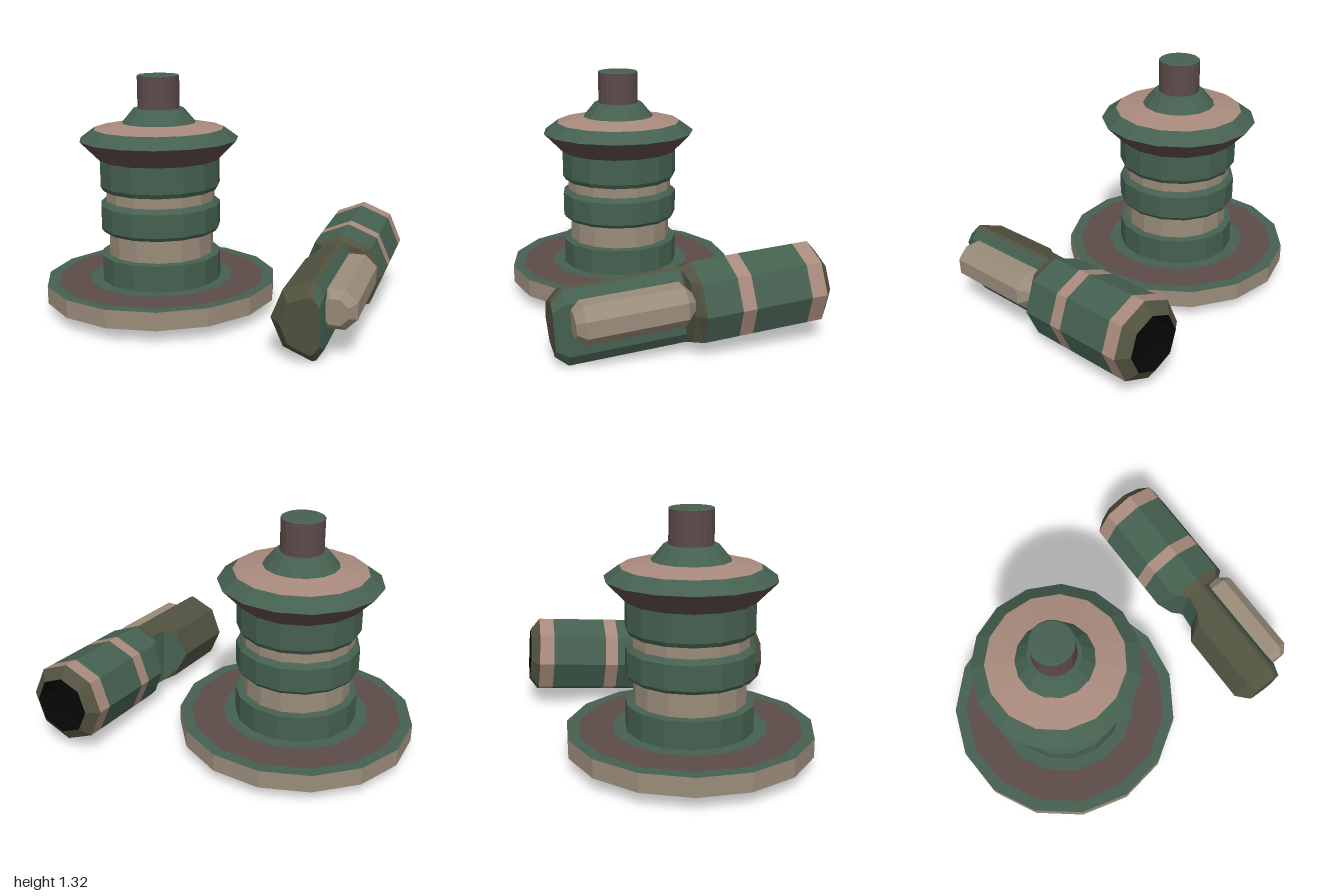
import * as THREE from 'three';

const GREEN = 0x456050, TAN = 0x9a8c7a, PINK = 0xa88a7c, BROWN = 0x5c4b49, OLIVE = 0x525240, BLACK = 0x060606;

const material = (color) => new THREE.MeshStandardMaterial({ color, flatShading: true });

// Faceted turned part: rows of [radius, height, colour of the band up to the next row]
function turned(name, rows, sides, phase = 0) {
  const group = new THREE.Group();
  group.name = name;
  for (let i = 0; i < rows.length - 1; i++) {
    const pts = [rows[i], rows[i + 1]].map(([r, y]) => new THREE.Vector2(r, y));
    const mesh = new THREE.Mesh(new THREE.LatheGeometry(pts, sides, phase), material(rows[i][2]));
    mesh.name = name + 'Band';
    group.add(mesh);
  }
  return group;
}

// Half height of an octagon of radius R (corner on top) at distance z from its middle
function octagonHeight(R, z) {
  const a = Math.abs(z), k = R * Math.SQRT1_2;
  return a < k ? R - (a * (R - k)) / k : Math.max(0, (k * (R - a)) / (R - k));
}

// Grip: clipped octagons lofted along x, each [x, radius, back cut, rim z, face z, face half height]
function grip() {
  const sections = [
    [-0.745, 0.15, -0.15, 0.02, 0.05, 0.1],
    [-0.68, 0.21, -0.21, 0.02, 0.06, 0.14],
    [-0.26, 0.21, -0.21, 0.02, 0.06, 0.14],
    [-0.23, 0.21, -0.17, 0.02, 0.06, 0.14],
    [-0.16, 0.21, -0.107, 0.02, 0.06, 0.14],
    [-0.07, 0.21, -0.096, 0.02, 0.06, 0.14],
    [-0.055, 0.21, -0.1, 0.117, 0.167, 0],
    [-0.01, 0.225, -0.146, 0.159, 0.225, 0],
    [0.05, 0.225, -0.225, 0.159, 0.225, 0],
  ];
  const loops = sections.map(([x, R, back, rim, face, faceY]) => {
    const shoulder = Math.max(back, -R * Math.SQRT1_2);
    const half = [[back, octagonHeight(R, back)], [shoulder, octagonHeight(R, shoulder)],
      [0, R], [rim, octagonHeight(R, rim)], [face, faceY]];
    const mirrored = half.map(([z, y]) => [z, -y]).reverse();
    return [...half, ...mirrored].map(([z, y]) => [x, y, z]);
  });
  const olive = [], green = [];
  const n = loops[0].length;
  for (let i = 0; i < loops.length - 1; i++) {
    for (let k = 0; k < n; k++) {
      const j = (k + 1) % n;
      const [p, q, r, s] = [loops[i][k], loops[i][j], loops[i + 1][j], loops[i + 1][k]];
      const recess = i < 5 && k >= 3 && k <= 5;
      const notch = i >= 2 && k === n - 1;
      const barrelSide = i === loops.length - 2 && k < n - 1;
      (recess || notch || barrelSide ? green : olive).push(...p, ...q, ...r, ...p, ...r, ...s);
    }
  }
  // end cap
  for (let k = 1; k < n - 1; k++) olive.push(...loops[0][0], ...loops[0][k + 1], ...loops[0][k]);

  const group = new THREE.Group();
  group.name = 'grip';
  for (const [name, data, color] of [['gripShell', olive, OLIVE], ['gripInlay', green, GREEN]]) {
    const geometry = new THREE.BufferGeometry();
    geometry.setAttribute('position', new THREE.Float32BufferAttribute(data, 3));
    geometry.computeVertexNormals();
    const mesh = new THREE.Mesh(geometry, material(color));
    mesh.name = name;
    group.add(mesh);
  }
  return group;
}

export function createModel() {
  const model = new THREE.Group();
  model.name = 'model';

  // Round pedestal with its stepped column and stem
  const pedestal = new THREE.Group();
  pedestal.name = 'pedestal';
  pedestal.position.set(-0.336, 0, -0.345);
  pedestal.rotation.y = Math.PI;
  pedestal.add(
    turned('baseDisc', [
      [0, 0.075, GREEN], [0.655, 0.075, TAN], [0.655, 0.175, GREEN],
      [0.59, 0.175, BROWN], [0.41, 0.175, GREEN], [0, 0.175],
    ], 15),
    turned('column', [
      [0.34, 0.175, GREEN], [0.34, 0.32, GREEN], [0.298, 0.325, TAN],
      [0.298, 0.455, GREEN], [0.325, 0.455, GREEN], [0.34, 0.475, GREEN],
      [0.34, 0.605, GREEN], [0.31, 0.63, TAN], [0.31, 0.69, GREEN],
      [0.325, 0.69, GREEN], [0.34, 0.715, GREEN], [0.34, 0.86, BROWN],
      [0.447, 0.97, GREEN], [0.365, 1.03, PINK], [0.207, 1.06, GREEN],
      [0.14, 1.14, GREEN], [0, 1.14],
    ], 15),
    turned('stem', [[0.117, 1.14, BROWN], [0.117, 1.32, GREEN], [0.11, 1.325, GREEN], [0, 1.325]], 18),
  );
  model.add(pedestal);

  // Hand tool lying beside it; its local x runs from grip to muzzle
  const tool = new THREE.Group();
  tool.name = 'handTool';
  tool.position.set(0.311, 0.255, 0.472);
  tool.rotation.set(0, 0.583, 0.06);

  const barrel = turned('barrel', [
    [0.225, 0.05, GREEN], [0.225, 0.18, PINK], [0.225, 0.255, GREEN],
    [0.225, 0.565, PINK], [0.225, 0.65, OLIVE], [0.16, 0.7, BLACK],
    [0.155, 0.58, BLACK], [0, 0.58],
  ], 8);
  const rod = turned('sideRod', [
    [0, -0.66, TAN], [0.072, -0.66, TAN], [0.113, -0.615, TAN],
    [0.113, -0.1, TAN], [0.05, -0.04, TAN], [0, -0.03],
  ], 8, Math.PI / 8);
  rod.position.set(0, 0.05, 0.105);
  for (const part of [barrel, rod]) part.rotation.z = -Math.PI / 2;
  tool.add(barrel, rod, grip());
  model.add(tool);

  return model;
}
